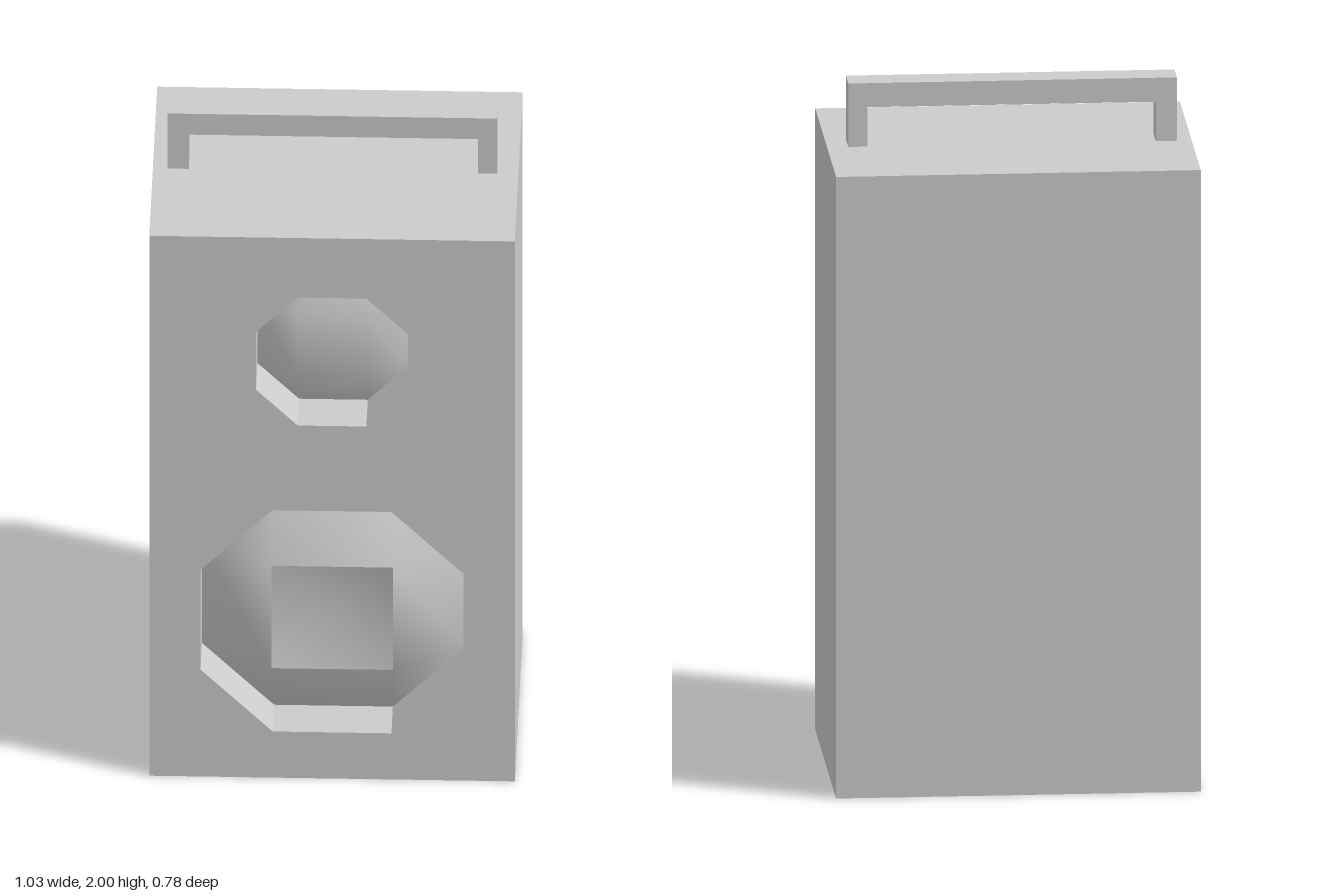
import * as THREE from 'three';

const FRONT = 0.39, DEPTH = 0.14;
const material = new THREE.MeshStandardMaterial({ color: 0xcccccc });

// Octagon corners, counter-clockwise: half size h, flat edges half length c
function octagon(h, c) {
  return [[h, -c], [h, c], [c, h], [-c, h], [-h, c], [-h, -c], [-c, -h], [c, -h]];
}

function square(s) {
  return [[s, s], [-s, s], [-s, -s], [s, -s]];
}

function part(name, geometry, parent) {
  const mesh = new THREE.Mesh(geometry, material);
  mesh.name = name;
  parent.add(mesh);
  return mesh;
}

function indexed(points, index) {
  const g = new THREE.BufferGeometry();
  g.setAttribute('position', new THREE.Float32BufferAttribute(points.flat(), 3));
  g.setIndex(index);
  g.computeVertexNormals();
  return g;
}

// Smooth cone rising from an octagon (z = 0) to a square (z = rise)
function coneGeometry(h, c, s, rise, capped) {
  const points = [
    ...octagon(h, c).map(([x, y]) => [x, y, 0]),
    ...square(s).map(([x, y]) => [x, y, rise]),
  ];
  const index = [];
  for (let k = 0; k < 4; k++) {
    const a = 2 * k + 1, b = (2 * k + 2) % 8, d = (2 * k + 3) % 8;
    const p = 8 + k, q = 8 + (k + 1) % 4;
    index.push(a, b, p, b, d, q, b, q, p);
  }
  if (capped) index.push(8, 9, 10, 8, 10, 11);
  return indexed(points, index);
}

// Shallow square dish sinking to its centre
function dishGeometry(s, sink) {
  const points = [...square(s).map(([x, y]) => [x, y, 0]), [0, 0, -sink]];
  return indexed(points, [0, 1, 4, 1, 2, 4, 2, 3, 4, 3, 0, 4]);
}

function toShape(points, Type = THREE.Shape) {
  return new Type(points.map(([x, y]) => new THREE.Vector2(x, y)));
}

export function createModel() {
  const model = new THREE.Group();
  model.name = 'loudspeaker';

  const w = 0.517, top = 1.815;
  const drivers = [
    { name: 'woofer', y: 0.527, h: 0.372, c: 0.168, s: 0.172, rise: 0.12, dish: 0.06 },
    { name: 'tweeter', y: 1.4, h: 0.215, c: 0.097, s: 0.097, rise: 0.06, dish: 0 },
  ];

  // Cabinet: solid rear and a front baffle with octagonal openings
  const rearDepth = 2 * FRONT - DEPTH;
  part('cabinet', new THREE.BoxGeometry(2 * w, top, rearDepth), model)
    .position.set(0, top / 2, -DEPTH / 2);

  const baffle = toShape([[-w, 0], [w, 0], [w, top], [-w, top]]);
  for (const d of drivers) {
    baffle.holes.push(toShape(octagon(d.h, d.c).map(([x, y]) => [x, y + d.y]), THREE.Path));
  }
  part('frontBaffle', new THREE.ExtrudeGeometry(baffle, { depth: DEPTH, bevelEnabled: false }), model)
    .position.z = FRONT - DEPTH;

  // Driver cones set into the openings
  for (const d of drivers) {
    const driver = new THREE.Group();
    driver.name = d.name;
    driver.position.set(0, d.y, FRONT - DEPTH);
    model.add(driver);
    part(d.name + 'Cone', coneGeometry(d.h, d.c, d.s, d.rise, !d.dish), driver);
    if (d.dish) part(d.name + 'Dish', dishGeometry(d.s, d.dish), driver).position.z = d.rise;
  }

  // Carrying handle
  const handle = toShape([
    [-0.475, top], [-0.415, top], [-0.415, 1.93], [0.403, 1.93],
    [0.403, top], [0.457, top], [0.457, 2], [-0.475, 2],
  ]);
  part('handle', new THREE.ExtrudeGeometry(handle, { depth: 0.09, bevelEnabled: false }), model)
    .position.z = -0.053;

  return model;
}
